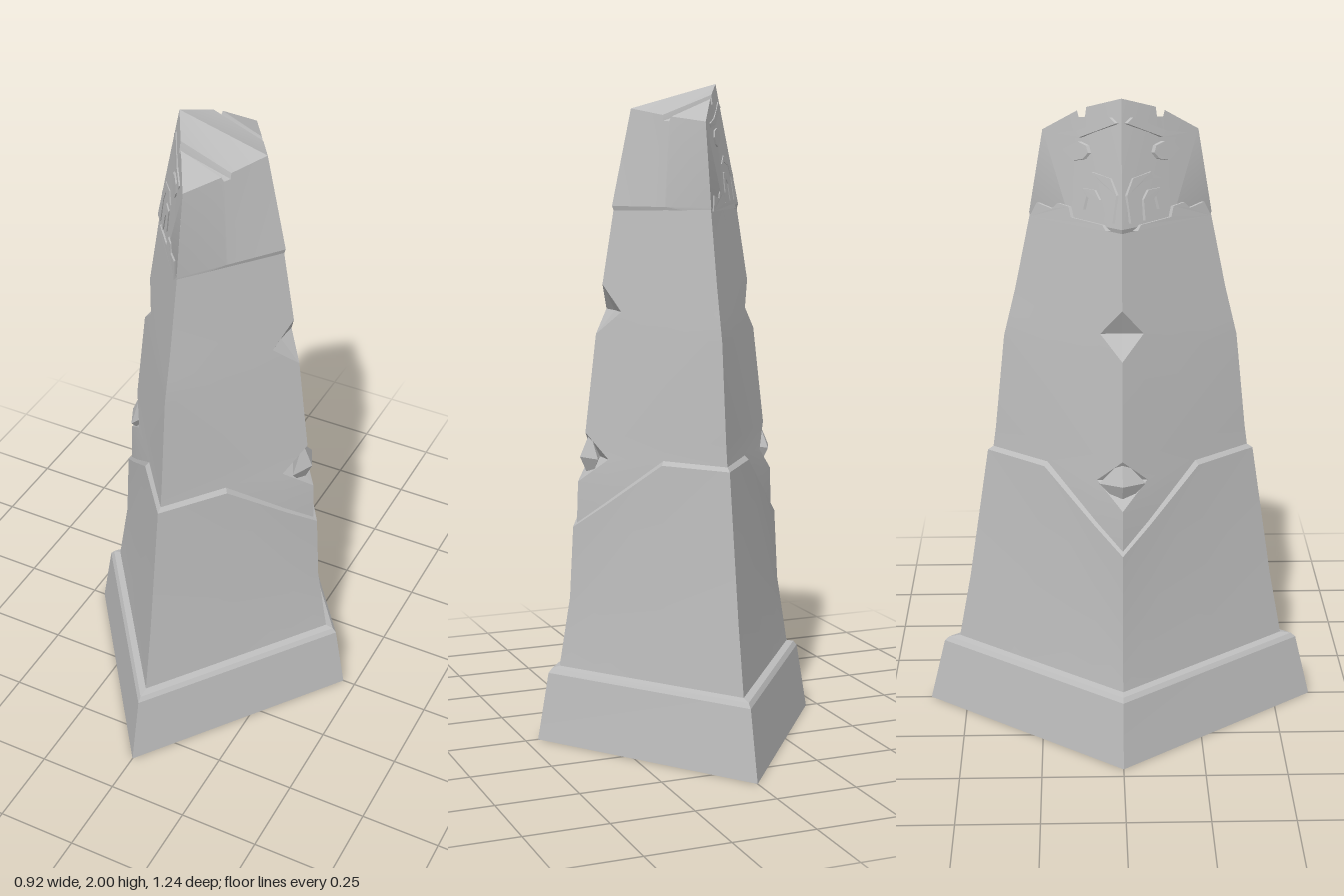
import * as THREE from 'three';
import { toCreasedNormals } from 'three/addons/utils/BufferGeometryUtils.js';

const stone = new THREE.MeshStandardMaterial({ color: 0xbcbcbc, side: THREE.DoubleSide });
stone.name = 'grey stone';

// Skin a grid of points; rows listed in flips use the other diagonal
function skin(rows, flips = []) {
  const n = rows[0].length, index = [];
  for (let r = 0; r < rows.length - 1; r++) {
    for (let j = 0; j < n - 1; j++) {
      const a = r * n + j, b = a + 1, d = a + n, c = d + 1;
      if (flips.includes(r)) index.push(a, d, b, d, c, b);
      else index.push(a, d, c, a, c, b);
    }
  }
  const geo = new THREE.BufferGeometry();
  geo.setAttribute('position', new THREE.Float32BufferAttribute(rows.flat(2), 3));
  geo.setIndex(index);
  return toCreasedNormals(geo, 0.35);
}

// Linear lookup of [x, z] half widths in a table of [y, x, z]
function widths(table, y) {
  let i = 0;
  while (i < table.length - 2 && y > table[i + 1][0]) i++;
  const [p, q] = [table[i], table[i + 1]];
  const t = (y - p[0]) / (q[0] - p[0]);
  return [p[1] + (q[1] - p[1]) * t, p[2] + (q[2] - p[2]) * t];
}

// Point on a diamond section: u = 0 at the side corner, 1 at the front corner
const onDiamond = ([x, z], u, y) => [x * (1 - u), y, z * u];

// Repeat a geometry mirrored across the given axes
function mirrored(name, geo, xs, zs) {
  const group = new THREE.Group();
  group.name = name;
  for (const sx of xs) for (const sz of zs) {
    const m = new THREE.Mesh(geo, stone);
    m.name = name + 'Section';
    m.scale.set(sx, 1, sz);
    group.add(m);
  }
  return group;
}

// Shaft with a stepped belt and two notches in each side corner
function shaftGeometry() {
  const lower = [[0.2, 0.392, 0.525], [0.44, 0.352, 0.48], [0.66, 0.34, 0.443], [0.9, 0.328, 0.41]];
  const upper = [[0.66, 0.328, 0.428], [0.8, 0.323, 0.408], [0.95, 0.298, 0.387],
    [1.25, 0.262, 0.355], [1.4, 0.24, 0.318], [1.63, 0.202, 0.27]];
  const us = [0, 0.19, 0.57, 1];
  const belt = u => 0.66 + 0.215 * Math.min(1, u / 0.57);
  const rows = [0.2, 0.44].map(y => us.map(u => onDiamond(widths(lower, y), u, y)));
  rows.push(us.map(u => onDiamond(widths(lower, belt(u)), u, belt(u))));
  rows.push(us.map(u => onDiamond(widths(upper, belt(u) + 0.012), u, belt(u) + 0.012)));
  const notch = { 0.875: 0.255, 1.32: 0.2 };
  [0.8, 0.875, 0.95, 1.25, 1.32, 1.4, 1.63].forEach((y, i) => {
    rows.push(us.map(u => {
      const yy = Math.max(y, belt(u) + 0.016 + 0.004 * i);
      const p = onDiamond(widths(upper, yy), u, yy);
      if (u === 0 && notch[y]) p[0] = notch[y];
      return p;
    }));
  });
  return skin(rows, [5, 8]);
}

// Half widths of the capstone at height y
const capWidths = y => [0.21 - (y - 1.62) * 0.21, 0.275 - (y - 1.62) * 0.173];

// Front half of the capstone: sloped roof with a groove, rows are [z, left y, right y]
function capGeometry() {
  const rows = [[0, 2, 1.925], [0.1, 1.965, 1.905], [0.104, 1.937, 1.888],
    [0.122, 1.934, 1.886], [0.127, 1.952, 1.9], [0.229, 1.885, 1.885]];
  return skin(rows.map(([z, yl, yr]) => {
    const u = z / 0.229;
    const edge = (s, y) => {
      const [cx, cz] = capWidths(y);
      return [s * Math.max(0, cx * (1 - z / cz)), y, z];
    };
    const low = s => [s * 0.2 * (1 - u), 1.612, 0.264 * u];
    const rim = s => [s * 0.208 * (1 - u), 1.635, 0.272 * u];
    return [low(-1), rim(-1), edge(-1, yl), edge(1, yr), rim(1), low(1), low(-1)];
  }));
}

// Raised carving on a capstone face, outlined in x and y and bent onto the face
function carving(points, depth) {
  const geo = new THREE.ExtrudeGeometry(
    new THREE.Shape(points.map(p => new THREE.Vector2(...p))), { depth: depth + 0.006, bevelEnabled: false });
  const pos = geo.attributes.position;
  for (let i = 0; i < pos.count; i++) {
    const [cx, cz] = capWidths(pos.getY(i));
    pos.setZ(i, pos.getZ(i) - 0.006 + cz * (1 + pos.getX(i) / cx));
  }
  geo.computeVertexNormals();
  return geo;
}

export function createModel() {
  const model = new THREE.Group();
  model.name = 'obelisk';
  const both = [1, -1];

  // Hollow plinth
  const plinth = [[0, 0.46, 0.62], [0.208, 0.424, 0.57], [0.222, 0.412, 0.555], [0.228, 0.384, 0.515]];
  model.add(mirrored('plinth',
    skin(plinth.map(([y, x, z]) => [0, 1].map(u => onDiamond([x, z], u, y)))), both, both));

  model.add(mirrored('shaft', shaftGeometry(), both, both));

  // Gems set in the lower notches
  const gem = new THREE.OctahedronGeometry(1);
  gem.scale(0.033, 0.075, 0.07);
  gem.translate(0.283, 0.876, 0);
  model.add(mirrored('gem', gem, both, [1]));

  model.add(mirrored('capstone', capGeometry(), [1], both));

  // Worn relief on the two right-hand faces of the capstone
  const reliefs = {
    outerHook: [[-0.19, 1.65], [-0.182, 1.73], [-0.16, 1.775], [-0.12, 1.785], [-0.1, 1.76],
      [-0.12, 1.765], [-0.15, 1.755], [-0.165, 1.72], [-0.172, 1.65]],
    innerHook: [[-0.158, 1.65], [-0.15, 1.71], [-0.135, 1.735], [-0.108, 1.735], [-0.108, 1.675],
      [-0.122, 1.675], [-0.122, 1.715], [-0.135, 1.7], [-0.142, 1.65]],
    brokenEdge: [[-0.18, 1.625], [-0.17, 1.64], [-0.1, 1.645], [-0.09, 1.675], [-0.065, 1.68],
      [-0.055, 1.66], [-0.02, 1.67], [-0.01, 1.625]],
    brow: [[-0.14, 1.93], [-0.125, 1.945], [-0.07, 1.895], [-0.03, 1.88], [-0.035, 1.868], [-0.08, 1.878]]
  };
  for (const [name, points] of Object.entries(reliefs)) {
    model.add(mirrored(name, carving(points, 0.009), [1], both));
  }
  const eye = Array.from({ length: 8 }, (_, i) =>
    [-0.08 + 0.026 * Math.cos(i * Math.PI / 4), 1.838 + 0.028 * Math.sin(i * Math.PI / 4)]);
  model.add(mirrored('eye', carving(eye, 0.012), [1], both));

  return model;
}
